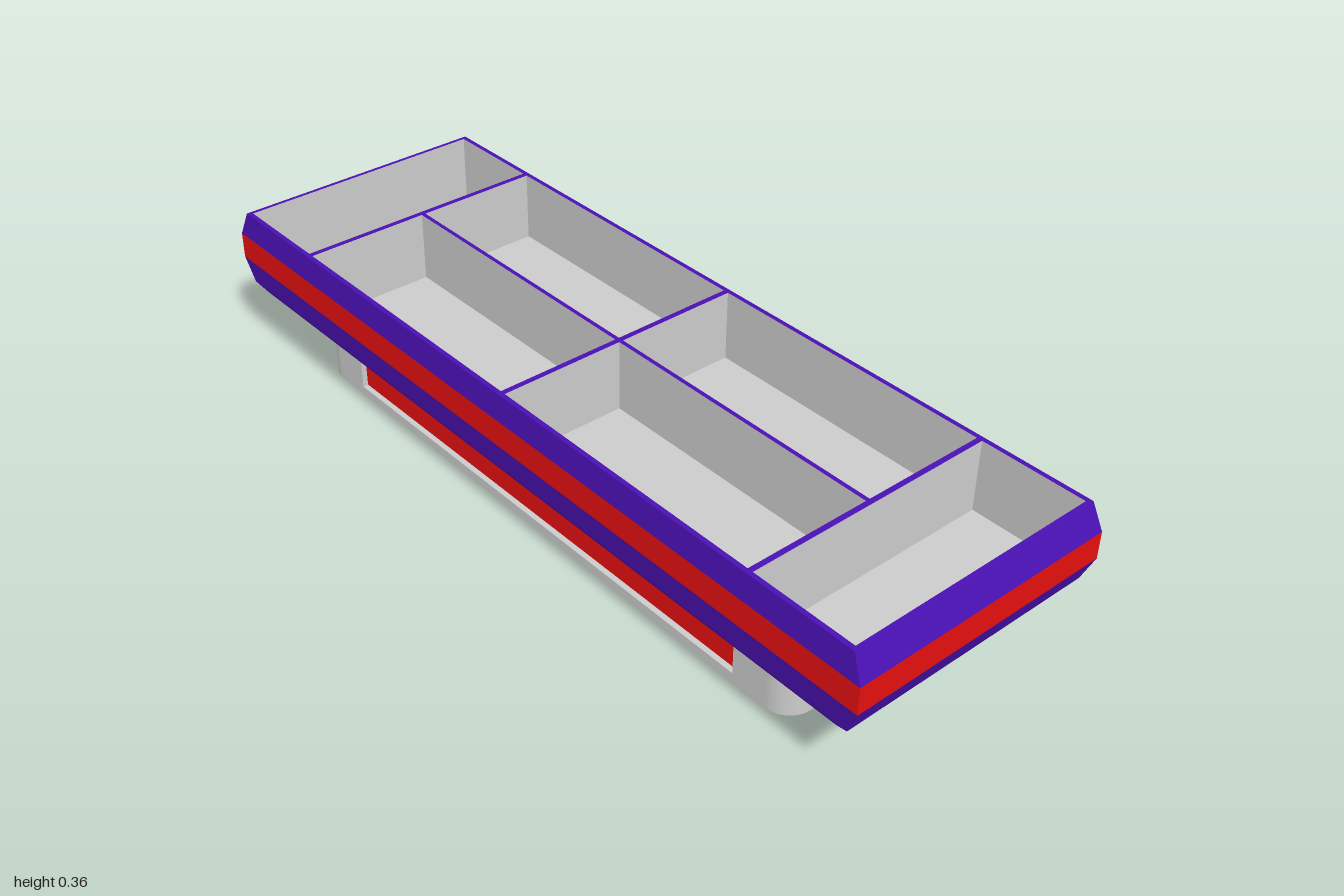
import * as THREE from 'three';

const mat = (color) => new THREE.MeshStandardMaterial({ color });

// Surface through rectangular rings, each ring given as [half x, half z, y]
function rectLoft(rings) {
  const corners = [[1, 1], [1, -1], [-1, -1], [-1, 1]];
  const pos = [];
  const at = ([x, z, y], i) => [corners[i % 4][0] * x, y, corners[i % 4][1] * z];
  for (let r = 0; r < rings.length - 1; r++) {
    for (let i = 0; i < 4; i++) {
      const a = at(rings[r], i), b = at(rings[r], i + 1);
      const c = at(rings[r + 1], i + 1), d = at(rings[r + 1], i);
      pos.push(...a, ...b, ...c, ...a, ...c, ...d);
    }
  }
  const geo = new THREE.BufferGeometry();
  geo.setAttribute('position', new THREE.Float32BufferAttribute(pos, 3));
  geo.computeVertexNormals();
  return geo;
}

// Rounded footprint of the base, optionally notched on all four sides
function footprint(notch) {
  const X = 0.78, Z = 0.25, R = 0.06, px = 0.63, pz = 0.137;
  const s = new THREE.Shape();
  s.moveTo(-X + R, -Z);
  if (notch) [[-px, -Z], [-px, -Z + notch], [px, -Z + notch], [px, -Z]].forEach((p) => s.lineTo(...p));
  s.lineTo(X - R, -Z);
  s.absarc(X - R, -Z + R, R, -Math.PI / 2, 0);
  if (notch) [[X, -pz], [X - notch, -pz], [X - notch, pz], [X, pz]].forEach((p) => s.lineTo(...p));
  s.lineTo(X, Z - R);
  s.absarc(X - R, Z - R, R, 0, Math.PI / 2);
  if (notch) [[px, Z], [px, Z - notch], [-px, Z - notch], [-px, Z]].forEach((p) => s.lineTo(...p));
  s.lineTo(-X + R, Z);
  s.absarc(-X + R, Z - R, R, Math.PI / 2, Math.PI);
  if (notch) [[-X, pz], [-X + notch, pz], [-X + notch, -pz], [-X, -pz]].forEach((p) => s.lineTo(...p));
  s.lineTo(-X, -Z + R);
  s.absarc(-X + R, -Z + R, R, Math.PI, Math.PI * 1.5);
  return s;
}

export function createModel() {
  const model = new THREE.Group();
  const grey = mat(0xcccccc), purple = mat(0x4a10b4), red = mat(0xe61010);

  function add(name, geo, material, x = 0, y = 0, z = 0, parent = model) {
    const mesh = new THREE.Mesh(geo, material);
    mesh.name = name;
    mesh.position.set(x, y, z);
    parent.add(mesh);
    return mesh;
  }

  // Base: solid slabs below and above a band with recesses
  const base = new THREE.Group();
  base.name = 'base';
  model.add(base);
  const recess = 0.015;
  const slabs = [['baseBottom', 0, 0.022, 0], ['baseMiddle', 0.022, 0.118, recess], ['baseTop', 0.118, 0.14, 0]];
  for (const [name, y0, y1, notch] of slabs) {
    const geo = new THREE.ExtrudeGeometry(footprint(notch), { depth: y1 - y0, bevelEnabled: false, curveSegments: 6 });
    geo.rotateX(-Math.PI / 2);
    add(name, geo, grey, 0, y0, 0, base);
  }

  // Red panels set into the recesses
  for (const s of [1, -1]) {
    add(s > 0 ? 'frontPanel' : 'backPanel', new THREE.BoxGeometry(1.26, 0.096, 0.01), red, 0, 0.07, s * 0.232, base);
    add(s > 0 ? 'leftPanel' : 'rightPanel', new THREE.BoxGeometry(0.01, 0.096, 0.274), red, s * 0.762, 0.07, 0, base);
  }

  // Tray shell: curved underside, red band, upper rim, then the grey inside
  const floorY = 0.19, topY = 0.357, inX = 0.966, inZ = 0.302;
  add('trayUnderside', rectLoft([
    [0, 0, 0.138], [0.78, 0.25, 0.138], [0.89, 0.285, 0.145], [0.94, 0.301, 0.155],
    [0.975, 0.313, 0.174], [1, 0.32, 0.234],
  ]), purple);
  add('trayBand', rectLoft([[1, 0.32, 0.234], [1, 0.32, 0.297]]), red);
  add('trayRim', rectLoft([[1, 0.32, 0.297], [0.975, 0.313, topY], [inX, inZ, topY]]), purple);
  add('trayInside', rectLoft([[inX, inZ, topY], [inX, inZ, floorY], [0, 0, floorY]]), grey);

  // Dividers: grey sides with purple top edges
  const dividerMats = [grey, grey, purple, grey, grey, grey];
  const h = topY - floorY, midY = (topY + floorY) / 2, t = 0.013;
  for (const x of [-0.714, 0, 0.714]) {
    add('crossDivider', new THREE.BoxGeometry(t, h, 2 * inZ), dividerMats, x, midY, 0);
  }
  for (const s of [-1, 1]) {
    add('longDivider', new THREE.BoxGeometry(0.714 - t, h, 0.01), dividerMats, s * 0.357, midY, 0);
  }
  return model;
}
